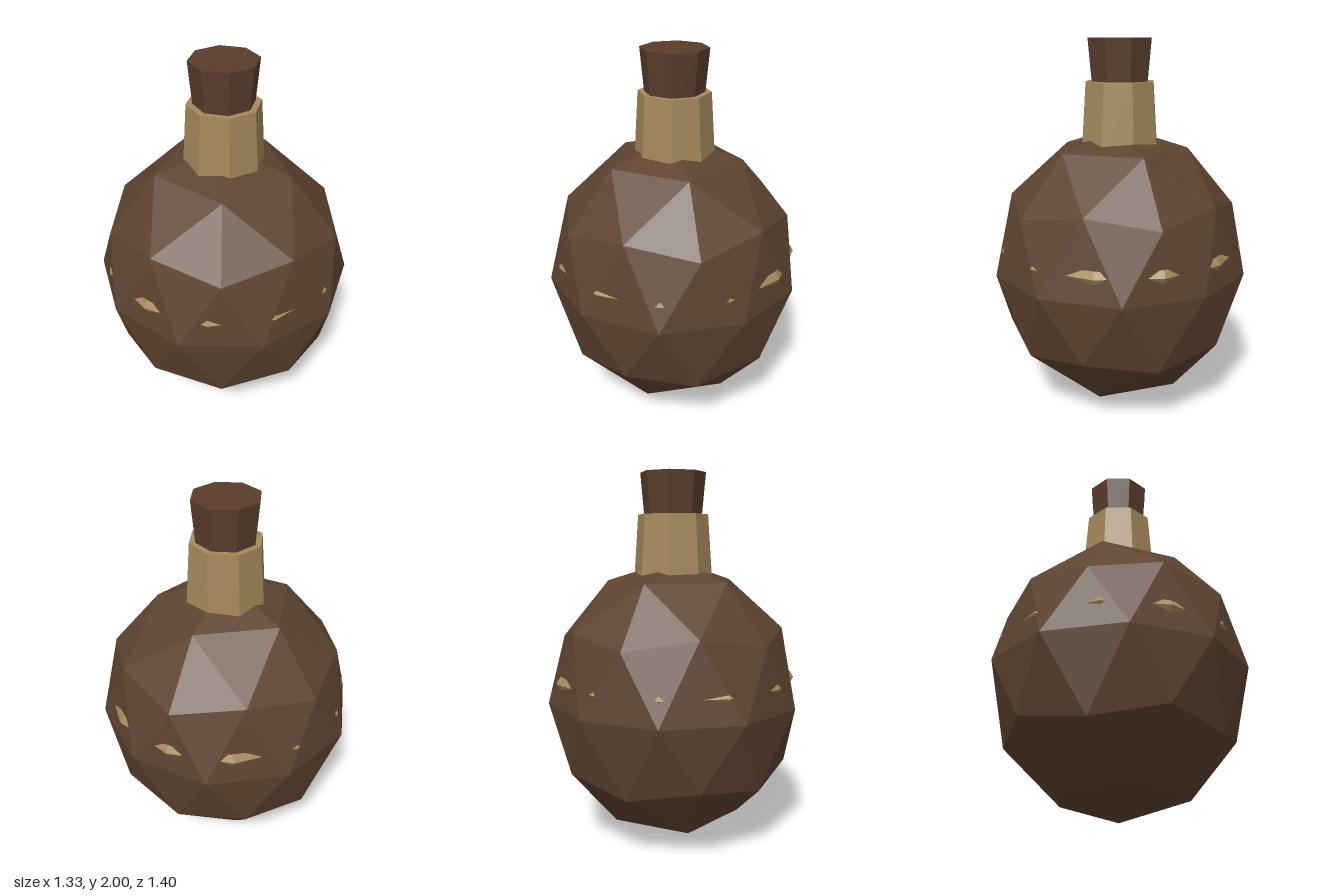
import * as THREE from 'three';

const paint = (name, color) => {
  const m = new THREE.MeshStandardMaterial({ color, flatShading: true });
  m.name = name;
  return m;
};

export function createModel() {
  const group = new THREE.Group();
  group.name = 'roundFlask';
  const leather = paint('dark brown leather', 0x5e4430);
  const cork = paint('brown stopper', 0x5a3d2c);
  const tan = paint('tan brass', 0xa4895b);

  const add = (name, geometry, material) => {
    geometry.computeVertexNormals();
    const mesh = new THREE.Mesh(geometry, material);
    mesh.name = name;
    group.add(mesh);
  };

  // Faceted body: icosphere turned so that a vertex sits at each pole
  const body = new THREE.IcosahedronGeometry(1, 1);
  body.rotateX(-Math.atan((1 + Math.sqrt(5)) / 2));
  body.rotateY(Math.PI / 2);
  body.scale(0.695, 0.77, 0.7);
  body.translate(-0.003, 0.77, 0);
  add('body', body, leather);

  // Eight-sided tapered section between two heights
  const section = (rTop, rBottom, yTop, yBottom) =>
    new THREE.CylinderGeometry(rTop, rBottom, yTop - yBottom, 8)
      .translate(0.002, (yTop + yBottom) / 2, 0);
  add('neck', section(0.19, 0.218, 1.78, 1.38), tan);
  add('stopper', section(0.177, 0.15, 2, 1.7), cork);

  // Girdle ring, mostly sunk in the body so only its corners show
  const ring = new THREE.TorusGeometry(0.625, 0.04, 6, 12);
  ring.rotateX(Math.PI / 2);
  ring.translate(0, 0.9, 0);
  add('girdleRing', ring, tan);

  return group;
}
